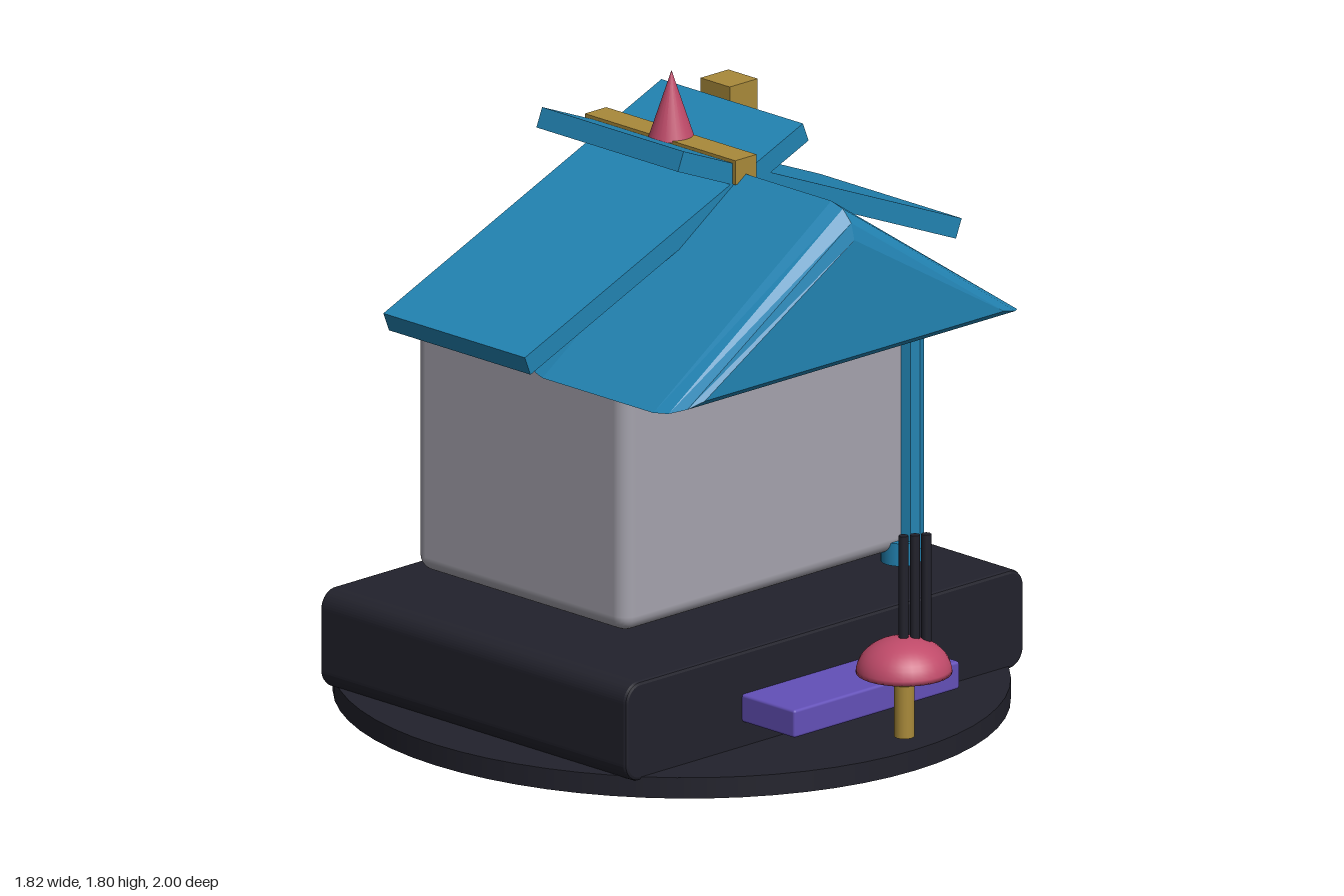
import * as THREE from 'three';
import { RoundedBoxGeometry } from 'three/addons/geometries/RoundedBoxGeometry.js';

const makeMaterial = (name, color) => {
  const m = new THREE.MeshStandardMaterial({ color });
  m.name = name;
  return m;
};

export function createModel() {
  const model = new THREE.Group();
  model.name = 'house';
  const dark = makeMaterial('charcoal', 0x22222c);
  const blue = makeMaterial('roof blue', 0x2283b2);
  const grey = makeMaterial('wall grey', 0xa5a3ad);
  const red = makeMaterial('rose red', 0xbf4a69);
  const ochre = makeMaterial('ochre', 0xa98a3a);
  const purple = makeMaterial('purple', 0x6350b8);

  const add = (name, geometry, material, x = 0, y = 0, z = 0) => {
    const mesh = new THREE.Mesh(geometry, material);
    mesh.name = name;
    mesh.position.set(x, y, z);
    model.add(mesh);
    return mesh;
  };
  const box = (w, h, d) => new THREE.BoxGeometry(w, h, d);
  const cylinder = (r, h, sides = 24) => new THREE.CylinderGeometry(r, r, h, sides);

  // Oval ground disc
  add('groundDisc', cylinder(1, 0.06, 64), dark, 0, 0.03, -0.046).scale.set(0.908, 1, 0.954);

  // Plinth: rounded profile run from back to front
  const w = 0.755, y0 = 0.06, y1 = 0.325, r = 0.045;
  const profile = new THREE.Shape();
  profile.absarc(w - r, y0 + r, r, -Math.PI / 2, 0);
  profile.absarc(w - r, y1 - r, r, 0, Math.PI / 2);
  profile.absarc(-w + r, y1 - r, r, Math.PI / 2, Math.PI);
  profile.absarc(-w + r, y0 + r, r, Math.PI, Math.PI * 1.5);
  add('plinth', new THREE.ExtrudeGeometry(profile, {
    depth: 1.18, bevelThickness: 0.01, bevelSize: 0.01, bevelSegments: 2, curveSegments: 6,
  }), dark, 0, 0, -0.635);

  // Walls
  add('walls', new RoundedBoxGeometry(1.14, 0.81, 0.828, 3, 0.045), grey, 0, 0.795, -0.062);

  // Corner posts with round feet, on the left side only
  const posts = [
    { foot: 0.335, post: 0.353, bottom: 0.36, top: 1.085 },
    { foot: -0.418, post: -0.438, bottom: 0.335, top: 1.06 },
  ];
  for (const p of posts) {
    add('postFoot', cylinder(0.056, 0.425 - p.bottom), blue, 0.507, (0.425 + p.bottom) / 2, p.foot);
    const postGeometry = cylinder(0.037, p.top - 0.4, 8).toNonIndexed();
    postGeometry.computeVertexNormals();
    add('cornerPost', postGeometry, blue, 0.527, (p.top + 0.4) / 2, p.post);
  }

  // Front gable with bevelled ends
  const gable = new THREE.Shape();
  gable.moveTo(-0.575, 1.14);
  gable.lineTo(0.575, 1.14);
  gable.lineTo(0, 1.475);
  gable.closePath();
  add('frontGable', new THREE.ExtrudeGeometry(gable, {
    depth: 0.435, bevelThickness: 0.09, bevelSize: 0.08, bevelSegments: 3,
  }), blue, 0, 0, 0.145);

  // Crossed roof slabs
  for (const [side, y] of [[-1, 1.415], [1, 1.438]]) {
    add(side < 0 ? 'rightRoofSlab' : 'leftRoofSlab', box(1.153, 0.058, 0.555), blue,
      side * 0.294, y, -0.043).rotation.z = -side * 0.386;
  }

  // Ridge beam, finial and chimney
  add('ridgeBeam', box(0.082, 0.07, 0.59), ochre, 0, 1.58, -0.05);
  add('finial', new THREE.ConeGeometry(0.063, 0.19, 24), red, 0, 1.705, -0.047);
  add('chimney', box(0.107, 0.255, 0.115), ochre, 0.418, 1.508, -0.248);

  // Curved rails at the back and on both sides
  const rail = (name, start, bulge, end) => {
    const points = [];
    for (let i = 0; i <= 8; i++) {
      const t = i / 8;
      const p = start.clone().lerp(end, t);
      points.push(p.addScaledVector(bulge, Math.sin(Math.PI * t)));
    }
    add(name, new THREE.TubeGeometry(new THREE.CatmullRomCurve3(points), 32, 0.032, 12), red);
  };
  const v = (x, y, z) => new THREE.Vector3(x, y, z);
  rail('backRail', v(-0.4, 1.16, -0.435), v(0, 0, -0.16), v(0.4, 1.16, -0.435));
  for (const s of [-1, 1]) {
    rail('sideRail', v(s * 0.535, 1.16, -0.21), v(s * 0.05, 0, 0), v(s * 0.535, 1.16, 0.09));
  }

  // Front step
  add('frontStep', new RoundedBoxGeometry(0.636, 0.08, 0.25, 2, 0.008), purple, 0, 0.17, 0.635);

  // Domed lantern on a peg, with three thin sticks
  const dome = [new THREE.Vector2(0, 0)];
  for (let i = 0; i <= 12; i++) {
    const a = (i / 12) * Math.PI / 2;
    dome.push(new THREE.Vector2(0.133 * Math.cos(a), 0.1 * Math.sin(a)));
  }
  add('dome', new THREE.LatheGeometry(dome, 32), red, 0, 0.275, 0.865);
  add('peg', cylinder(0.028, 0.15, 16), ochre, 0, 0.165, 0.866);
  for (let i = 0; i < 3; i++) {
    add('stick', cylinder(0.014, 0.335, 8), dark, i * 0.028, 0.5, 0.863 + i * 0.016);
  }

  return model;
}
